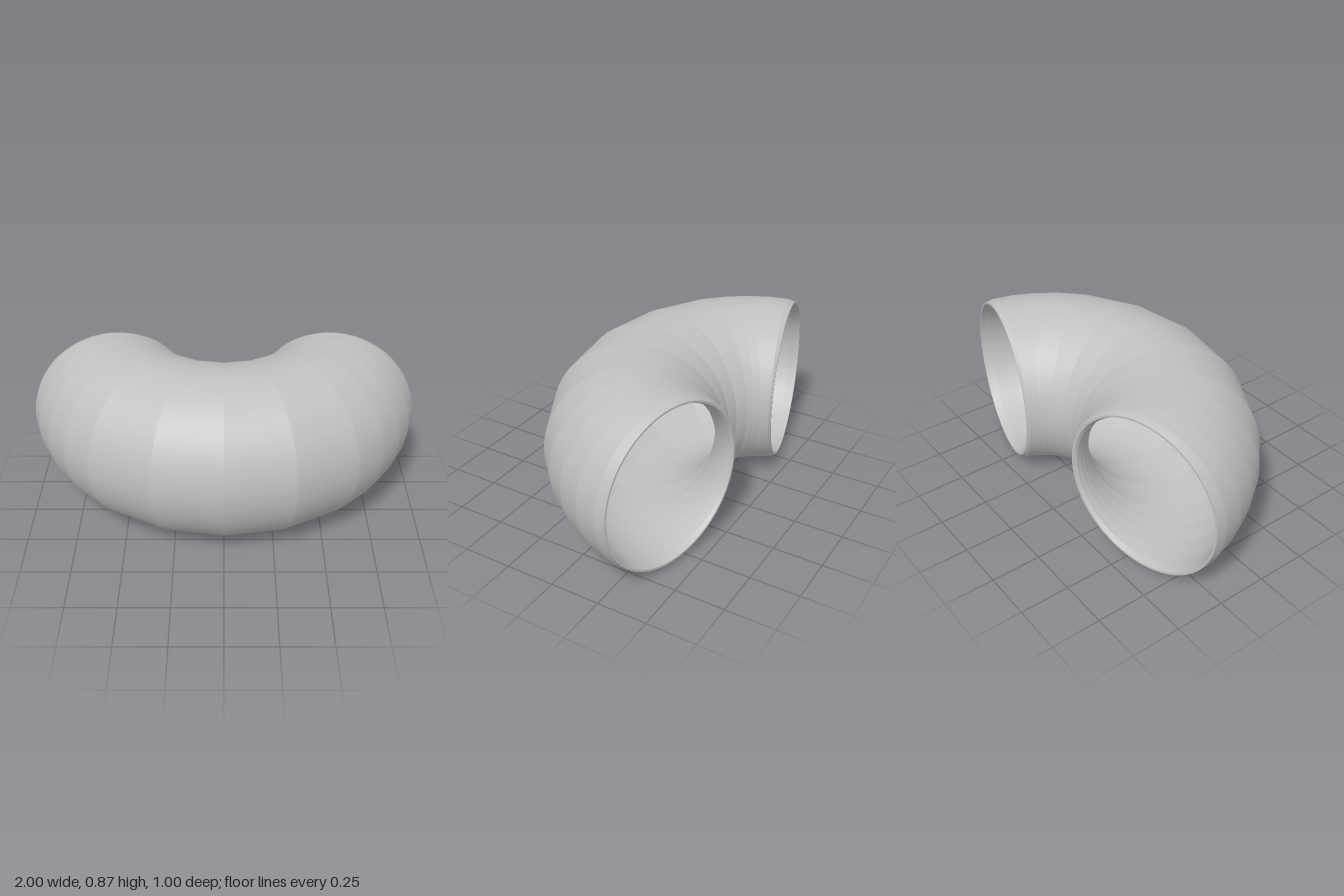
import * as THREE from 'three';
import { mergeGeometries } from 'three/addons/utils/BufferGeometryUtils.js';

const BEND = 0.617;      // radius of the bend's centre line
const CENTRE_Z = -0.551; // centre of the bend
const HEIGHT = 0.433;    // height of the centre line
const SIDES = 64;

// One smooth ring-to-ring band; bands stay creased against each other
function band([degA, rA], [degB, rB]) {
  const pos = [], index = [];
  for (const [deg, r] of [[degA, rA], [degB, rB]]) {
    const t = THREE.MathUtils.degToRad(deg);
    for (let j = 0; j < SIDES; j++) {
      const p = (j / SIDES) * Math.PI * 2;
      const d = BEND + r * Math.cos(p);
      pos.push(d * Math.sin(t), HEIGHT + r * Math.sin(p), CENTRE_Z + d * Math.cos(t));
    }
  }
  for (let j = 0; j < SIDES; j++) {
    const k = (j + 1) % SIDES;
    index.push(j, SIDES + j, SIDES + k, j, SIDES + k, k);
  }
  const g = new THREE.BufferGeometry();
  g.setAttribute('position', new THREE.Float32BufferAttribute(pos, 3));
  g.setIndex(index);
  g.computeVertexNormals();
  return g;
}

// Joins a run of rings into one mesh
function tube(name, rings, material) {
  const bands = rings.slice(1).map((ring, i) => band(rings[i], ring));
  const mesh = new THREE.Mesh(mergeGeometries(bands), material);
  mesh.name = name;
  return mesh;
}

// Mirrors half a run of [angle, radius] rings to the other end
const mirrored = (half) => [
  ...half.slice(1).reverse().map(([a, r]) => [-a, r]),
  ...half,
];

export function createModel() {
  const grey = new THREE.MeshStandardMaterial({ color: 0xc0c0c0 });
  grey.name = 'pipe grey';

  const group = new THREE.Group();
  group.name = 'pipeElbow';

  // Outer wall, narrowing to a bevel at each end
  const outer = mirrored([
    [0, 0.433], [19.4, 0.433], [38.8, 0.433], [49, 0.432],
    [58, 0.43], [66, 0.428], [73, 0.423], [76, 0.412],
  ]);
  // Inner wall, running back the other way so it faces inward
  const inner = mirrored([
    [0, 0.385], [19.4, 0.385], [38.8, 0.385], [49, 0.385],
    [58, 0.385], [66, 0.387], [73, 0.392], [76, 0.402],
  ]).reverse();

  group.add(tube('outerWall', outer, grey));
  group.add(tube('innerWall', inner, grey));
  // Thin rims closing the wall at both openings
  group.add(tube('leftRim', [[76, 0.412], [76, 0.402]], grey));
  group.add(tube('rightRim', [[-76, 0.402], [-76, 0.412]], grey));
  return group;
}
